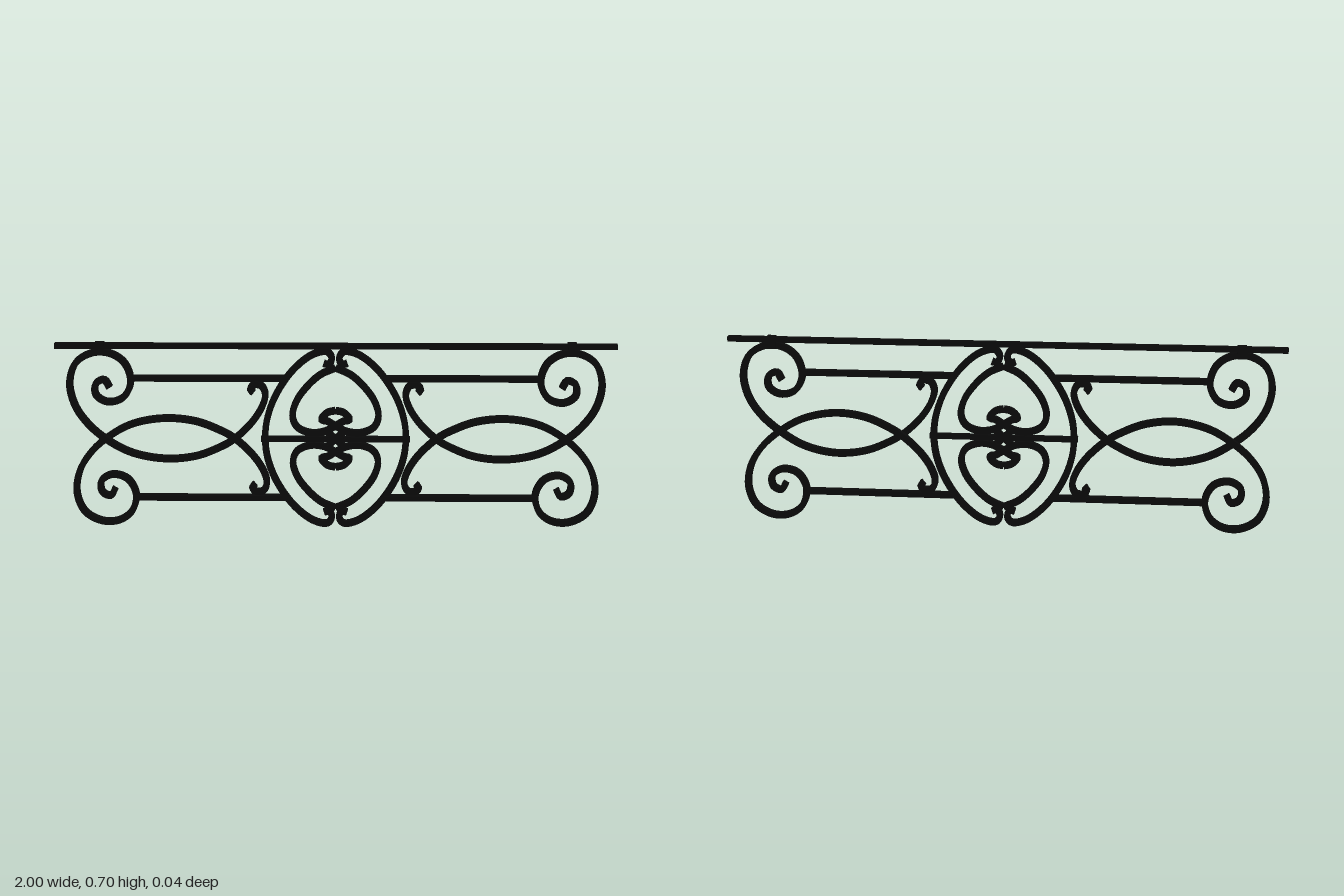
import * as THREE from 'three';
import { toCreasedNormals } from 'three/addons/utils/BufferGeometryUtils.js';

const MID = 0.344; // height of the mirror line
const iron = new THREE.MeshStandardMaterial({ color: 0x0a0a0a });
iron.name = 'blackIron';

// Sweeps a rectangular bar along a curve lying close to the xy plane
function sweep(points, { width = 0.023, depth = 0.022, segments = 100 } = {}) {
  const curve = new THREE.CatmullRomCurve3(points, false, 'centripetal');
  const corners = [[1, 1], [-1, 1], [-1, -1], [1, -1]];
  const rings = [];
  for (let i = 0; i <= segments; i++) {
    const p = curve.getPointAt(i / segments);
    const t = curve.getTangentAt(i / segments).setZ(0).normalize();
    rings.push(corners.map(([n, b]) => [
      p.x - t.y * n * width / 2,
      p.y + t.x * n * width / 2,
      p.z + b * depth / 2,
    ]));
  }
  const pos = [];
  const quad = (a, b, c, d) => pos.push(...a, ...b, ...c, ...a, ...c, ...d);
  for (let i = 0; i < segments; i++) {
    for (let j = 0; j < 4; j++) {
      const k = (j + 1) % 4;
      quad(rings[i][j], rings[i][k], rings[i + 1][k], rings[i + 1][j]);
    }
  }
  const s = rings[0], e = rings[segments];
  quad(s[0], s[3], s[2], s[1]);
  quad(e[0], e[1], e[2], e[3]);
  const geo = new THREE.BufferGeometry();
  geo.setAttribute('position', new THREE.Float32BufferAttribute(pos, 3));
  return toCreasedNormals(geo, 0.7);
}

// Profiles are [x, height above the mirror line]
const scroll = [
  [0.81, 0.195], [0.828, 0.224], [0.858, 0.21], [0.86, 0.168], [0.82, 0.142], [0.765, 0.156],
  [0.734, 0.214], [0.752, 0.284], [0.80, 0.32], [0.862, 0.324], [0.925, 0.288], [0.952, 0.214],
  [0.938, 0.13], [0.895, 0.06], [0.83, 0], [0.738, -0.053], [0.62, -0.077], [0.51, -0.066],
  [0.43, -0.035], [0.37, 0], [0.30, 0.068], [0.262, 0.13], [0.252, 0.174], [0.266, 0.204],
  [0.294, 0.206], [0.306, 0.188], [0.294, 0.178],
];
const ovalSide = [ // upper half, curl to waist
  [0.042, 0.285], [0.03, 0.281], [0.018, 0.287], [0.014, 0.308], [0.03, 0.328], [0.08, 0.318],
  [0.15, 0.262], [0.215, 0.165], [0.247, 0.075], [0.255, 0],
];
const heartSide = [
  [0, 0.268], [0.055, 0.242], [0.105, 0.195], [0.142, 0.14], [0.155, 0.085], [0.138, 0.045],
  [0.09, 0.024], [0.04, 0.029], [0, 0.05], [-0.03, 0.068], [-0.051, 0.073], [-0.048, 0.082],
  [-0.028, 0.101], [0, 0.108],
];

// Scrolls bow forward or back where they cross, and meet again midway
const bow = (x, h) =>
  0.011 * Math.min(1, Math.abs(x - 0.6) / 0.23) * (1 - 1.7 * Math.abs(h));

export function createModel() {
  const model = new THREE.Group();
  model.name = 'railingPanel';

  const add = (name, geo, x = 0, y = 0) => {
    const mesh = new THREE.Mesh(geo, iron);
    mesh.name = name;
    mesh.position.set(x, y, 0);
    model.add(mesh);
  };
  const box = (name, w, h, d, x, y) => add(name, new THREE.BoxGeometry(w, h, d), x, y);
  const place = (pts, sx, sy, zOf = () => 0) =>
    pts.map(([x, h]) => new THREE.Vector3(sx * x, MID + sy * h, sy * zOf(x, h)));

  // Handrail and waist bar
  box('topRail', 2, 0.019, 0.022, 0, 0.692);
  box('waistBar', 0.54, 0.019, 0.018, 0, MID);

  for (const sx of [1, -1]) {
    const side = sx > 0 ? 'left' : 'right';

    // Collar joining the scroll to the rail
    box(side + 'Collar', 0.032, 0.046, 0.028, sx * 0.84, 0.682);

    // Side of the central oval, curled at both ends
    const lower = ovalSide.slice(0, -1).reverse().map(([x, h]) => [x, -h]);
    add(side + 'OvalSide', sweep(place([...ovalSide, ...lower], sx, 1), { segments: 140, depth: 0.02 }));

    for (const sy of [1, -1]) {
      const label = side + (sy > 0 ? 'Upper' : 'Lower');
      add(label + 'Scroll', sweep(place(scroll, sx, sy, bow), { segments: 200 }));
      add(label + 'HeartSide', sweep(place(heartSide, sx, sy), { segments: 120, depth: 0.02 }));
      box(label + 'Bar', 0.555, 0.02, 0.026, sx * 0.455, MID + sy * 0.228);
    }

    // Diagonal tie between the two hearts
    add(side + 'HeartTie', sweep(place([[-0.036, -0.034], [0.036, 0.034]], sx, 1), { segments: 1, depth: 0.018 }));
  }
  return model;
}
